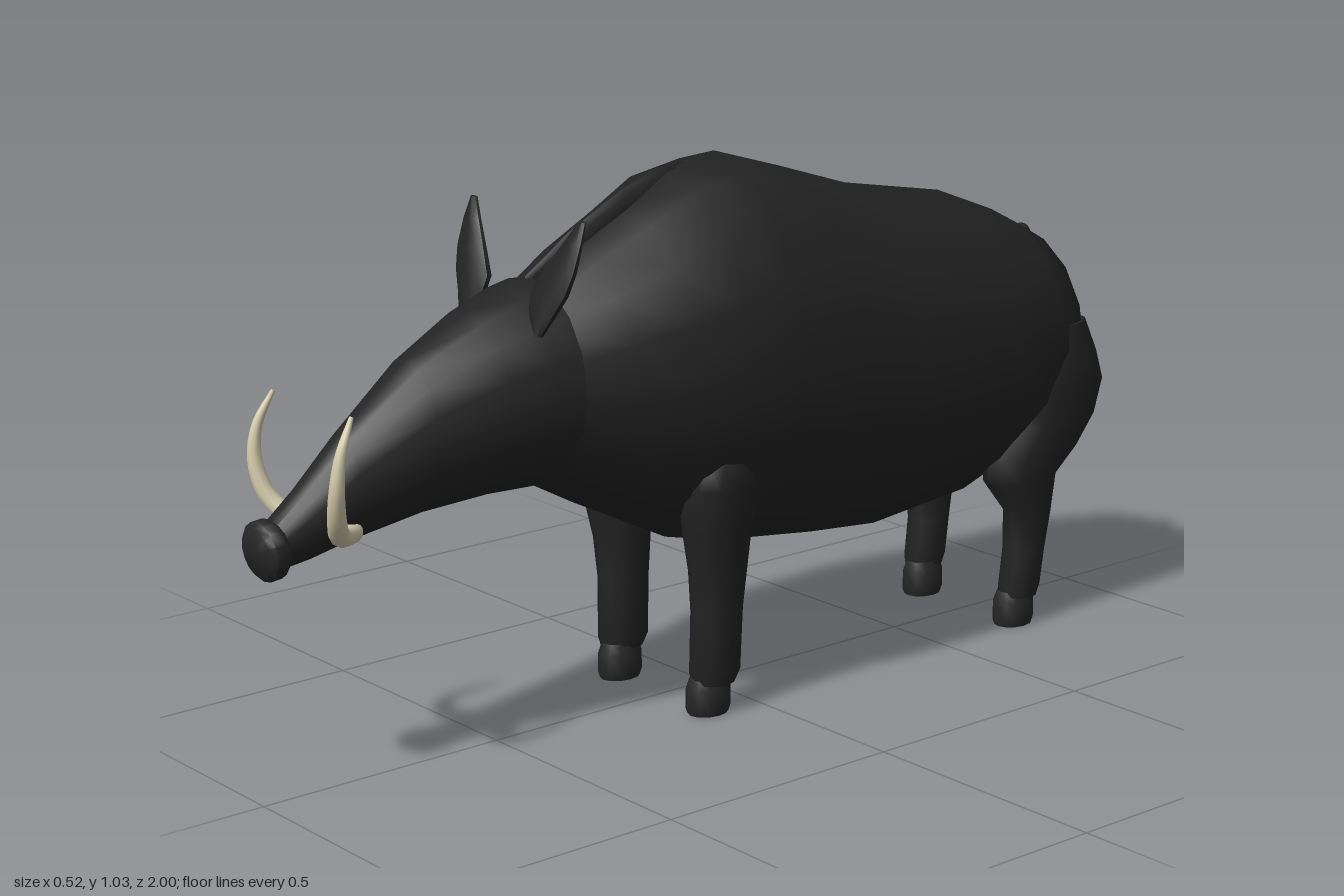
import * as THREE from 'three';
import { toCreasedNormals } from 'three/addons/utils/BufferGeometryUtils.js';

const black = new THREE.MeshStandardMaterial({ color: 0x232323 });
black.name = 'black bristle';
const horn = new THREE.MeshStandardMaterial({ color: 0x272727 });
horn.name = 'dark hoof';
const ivory = new THREE.MeshStandardMaterial({ color: 0xd9cfb0 });
ivory.name = 'ivory';

// Closed skin over elliptical rings.
// axis 'z': rows [z, x, y, rx, ry], rising z; axis 'y': rows [y, x, z, rx, rz], rising y.
function loft(rows, axis, sides = 14, crease = 0.9) {
  const pos = [], index = [];
  const put = (w, x, v) => (axis === 'z' ? pos.push(x, v, w) : pos.push(x, w, v));
  for (const [w, x, v, rx, rv] of rows) {
    for (let j = 0; j < sides; j++) {
      const a = (j / sides) * Math.PI * 2 + Math.PI / 2;
      put(w, x + rx * Math.cos(a), v + rv * Math.sin(a));
    }
  }
  const last = rows.length - 1, start = pos.length / 3;
  put(...rows[0]);
  put(...rows[last]);
  const tri = (a, b, c) => (axis === 'z' ? index.push(a, b, c) : index.push(a, c, b));
  for (let j = 0; j < sides; j++) {
    const k = (j + 1) % sides;
    for (let i = 0; i < last; i++) {
      const a = i * sides + j, b = i * sides + k;
      tri(a, b, b + sides);
      tri(a, b + sides, a + sides);
    }
    tri(start, k, j);
    tri(start + 1, last * sides + j, last * sides + k);
  }
  const g = new THREE.BufferGeometry();
  g.setAttribute('position', new THREE.Float32BufferAttribute(pos, 3));
  g.setIndex(index);
  return toCreasedNormals(g, crease);
}

// Rows given as [z, bottom, top, half width] become centred rings.
const span = rows => rows.map(([z, lo, hi, w]) => [z, 0, (lo + hi) / 2, w, (hi - lo) / 2]);

// Tube that narrows to a point.
function taperedTube(points, r0, r1) {
  const curve = new THREE.CatmullRomCurve3(points.map(p => new THREE.Vector3(...p)));
  const n = 20, sides = 10;
  const g = new THREE.TubeGeometry(curve, n, 1, sides);
  const p = g.attributes.position, v = new THREE.Vector3();
  for (let i = 0; i < p.count; i++) {
    const t = Math.floor(i / (sides + 1)) / n;
    const c = curve.getPointAt(t);
    v.fromBufferAttribute(p, i).sub(c).multiplyScalar(r0 + (r1 - r0) * t * t).add(c);
    p.setXYZ(i, v.x, v.y, v.z);
  }
  return g;
}

export function createModel() {
  const model = new THREE.Group();
  model.name = 'boar';
  const add = (name, geometry, material = black) => {
    const mesh = new THREE.Mesh(geometry, material);
    mesh.name = name;
    model.add(mesh);
    return mesh;
  };

  // Barrel body, rump to neck
  add('body', loft(span([
    [-0.9, 0.47, 0.62, 0.07], [-0.88, 0.4, 0.69, 0.13], [-0.83, 0.35, 0.785, 0.19],
    [-0.75, 0.32, 0.83, 0.215], [-0.6, 0.27, 0.887, 0.235], [-0.35, 0.245, 0.932, 0.245],
    [-0.18, 0.26, 0.985, 0.255], [-0.02, 0.28, 1.032, 0.262], [0.1, 0.31, 1.01, 0.255],
    [0.2, 0.36, 0.955, 0.232], [0.32, 0.42, 0.895, 0.2], [0.43, 0.48, 0.825, 0.155],
  ]), 'z', 16));

  // Long tapering head
  add('head', loft(span([
    [0.41, 0.475, 0.855, 0.165], [0.46, 0.475, 0.845, 0.158], [0.55, 0.477, 0.812, 0.138],
    [0.68, 0.468, 0.745, 0.1], [0.82, 0.445, 0.635, 0.064], [0.9, 0.428, 0.56, 0.05],
    [0.965, 0.42, 0.505, 0.042],
  ]), 'z', 16));

  // Snout disc
  const snout = add('snout', loft([
    [-0.022, 0, 0, 0.045, 0.043], [-0.01, 0, 0, 0.055, 0.054],
    [0.012, 0, 0, 0.055, 0.054], [0.02, 0, 0, 0.046, 0.045],
  ], 'z', 16), horn);
  snout.position.set(0, 0.459, 0.975);
  snout.rotation.x = 0.1;

  // Bristle ridge on the neck
  add('mane', loft(span([
    [0.03, 0.98, 1.02, 0.006], [0.1, 0.95, 1.02, 0.015], [0.2, 0.91, 0.985, 0.017],
    [0.32, 0.85, 0.923, 0.016], [0.42, 0.8, 0.855, 0.01],
  ]), 'z', 8));

  // Tail with tuft
  add('tail', loft([
    [0.3, 0, -0.978, 0.012, 0.012], [0.33, 0, -0.977, 0.024, 0.022],
    [0.4, 0, -0.968, 0.023, 0.023], [0.46, 0, -0.953, 0.015, 0.016],
    [0.54, 0, -0.935, 0.014, 0.018], [0.61, 0, -0.905, 0.015, 0.024],
    [0.66, 0, -0.88, 0.012, 0.018],
  ], 'y', 10));
  add('tailRoot', new THREE.SphereGeometry(0.02, 10, 8)).position.set(0, 0.77, -0.838);

  const frontLeg = [
    [0.06, 0.137, 0.095, 0.036, 0.044], [0.08, 0.137, 0.093, 0.042, 0.052],
    [0.2, 0.139, 0.09, 0.043, 0.053], [0.28, 0.142, 0.09, 0.05, 0.059],
    [0.36, 0.147, 0.096, 0.057, 0.07], [0.45, 0.157, 0.1, 0.064, 0.083],
    [0.5, 0.165, 0.1, 0.058, 0.07], [0.54, 0.17, 0.1, 0.035, 0.04],
  ];
  const backLeg = [
    [0.06, 0.137, -0.715, 0.034, 0.042], [0.08, 0.137, -0.717, 0.038, 0.047],
    [0.16, 0.138, -0.727, 0.041, 0.046], [0.24, 0.14, -0.732, 0.047, 0.052],
    [0.31, 0.143, -0.705, 0.053, 0.088], [0.36, 0.145, -0.73, 0.058, 0.12],
    [0.42, 0.14, -0.775, 0.068, 0.125], [0.49, 0.132, -0.79, 0.085, 0.132],
    [0.55, 0.13, -0.785, 0.088, 0.115], [0.62, 0.13, -0.78, 0.07, 0.09],
  ];
  const hoof = [
    [0, 0, 0, 0.033, 0.042], [0.012, 0, 0, 0.037, 0.046],
    [0.05, 0, 0, 0.037, 0.045], [0.072, 0, 0, 0.029, 0.038],
  ];
  const ear = [
    [0.775, 0.108, 0.475, 0.012, 0.01], [0.81, 0.105, 0.462, 0.034, 0.016],
    [0.85, 0.112, 0.45, 0.05, 0.016], [0.89, 0.13, 0.439, 0.042, 0.013],
    [0.94, 0.148, 0.424, 0.024, 0.009], [0.977, 0.158, 0.412, 0.009, 0.004],
  ];
  const tusk = [
    [0.04, 0.472, 0.825], [0.07, 0.478, 0.87], [0.105, 0.515, 0.9],
    [0.126, 0.575, 0.913], [0.129, 0.64, 0.905], [0.12, 0.7, 0.875],
  ];

  // Paired parts, mirrored across x
  for (const [side, s] of [['left', 1], ['right', -1]]) {
    const flip = rows => rows.map(([w, x, ...rest]) => [w, x * s, ...rest]);
    add(side + 'FrontLeg', loft(flip(frontLeg), 'y', 12));
    add(side + 'BackLeg', loft(flip(backLeg), 'y', 12));
    add(side + 'FrontHoof', loft(hoof, 'y', 12), horn).position.set(0.132 * s, 0, 0.105);
    add(side + 'BackHoof', loft(hoof, 'y', 12), horn).position.set(0.132 * s, 0, -0.707);
    add(side + 'Ear', loft(flip(ear), 'y', 10));
    add(side + 'Tusk', taperedTube(tusk.map(([x, y, z]) => [x * s, y, z]), 0.019, 0.004), ivory);
  }
  return model;
}
